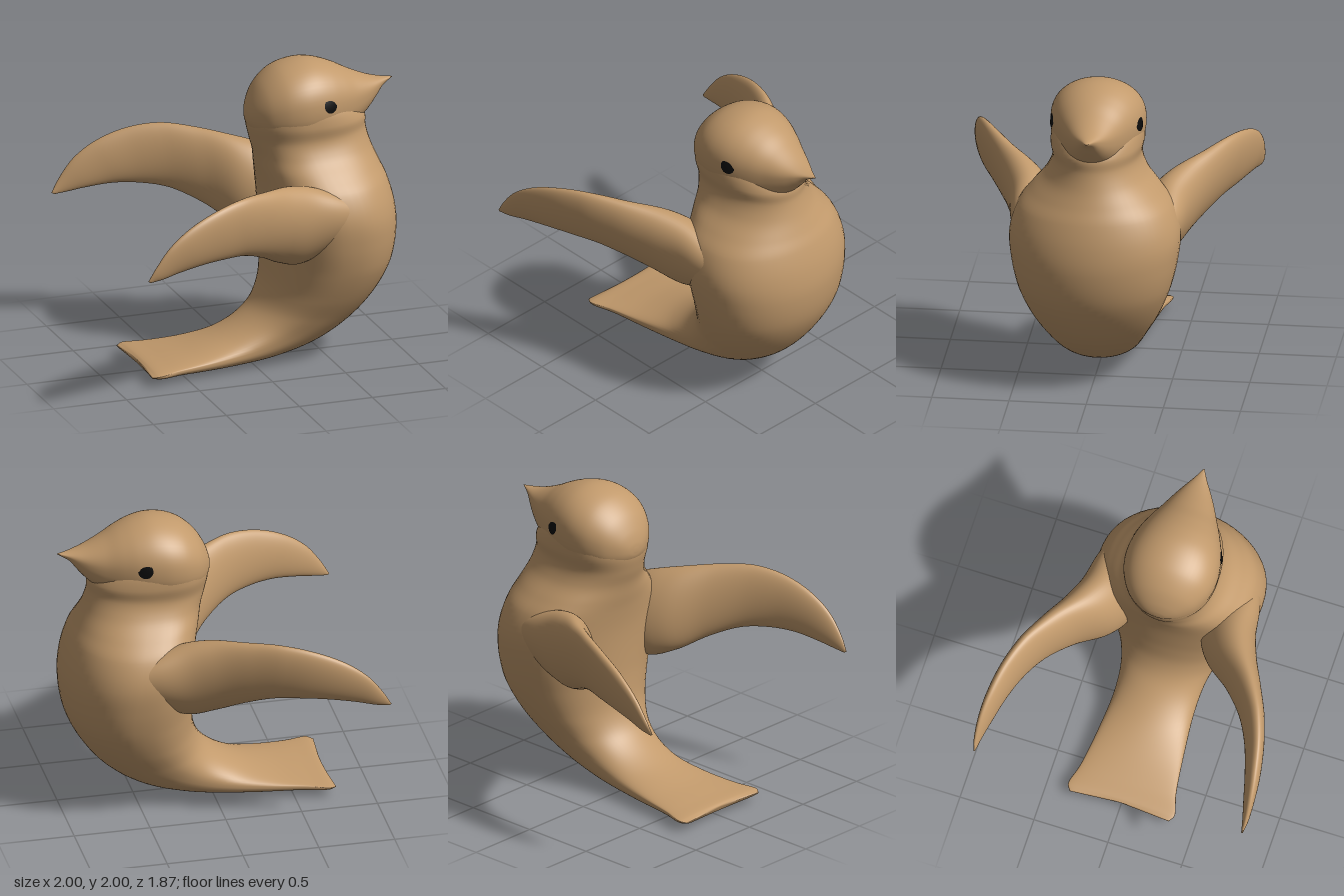
import * as THREE from 'three';

// Smooth skin through sections [ax, ay, bx, by, halfWidth, widest, zCentre].
// Each section is an oval from edge A to edge B; widest (0..1) is where it is broadest.
// side mirrors zCentre, lean tilts sections outward with height, power < 1 squares them.
function loft(sections, { side = 1, lean = 0, power = 1, endNotch = 0 } = {}) {
  const steps = 6;
  const sides = 56;
  const edgeA = new THREE.CatmullRomCurve3(sections.map((s) => new THREE.Vector3(s[0], s[1], s[4])));
  const edgeB = new THREE.CatmullRomCurve3(sections.map((s) => new THREE.Vector3(s[2], s[3], (s[6] || 0) * side)));
  const last = sections.length - 1;
  const rings = last * steps;
  const pos = [];
  const index = [];
  const centres = [];
  for (let i = 0; i <= rings; i++) {
    const t = i / rings;
    const A = edgeA.getPoint(t);
    const B = edgeB.getPoint(t);
    const k = Math.min(last - 1, Math.floor(t * last));
    const m = THREE.MathUtils.lerp(sections[k][5], sections[k + 1][5], t * last - k);
    const wx = A.x + (B.x - A.x) * m;
    const wy = A.y + (B.y - A.y) * m;
    const notch = endNotch * t ** 12;
    for (let j = 0; j < sides; j++) {
      const a = (j / sides) * Math.PI * 2;
      const c = Math.cos(a);
      const s = Math.sin(a);
      const E = c > 0 ? A : B;
      const f = Math.abs(c) ** power;
      const dy = (E.y - wy) * f;
      pos.push(wx + (E.x - wx) * f - notch * s * s, wy + dy, B.z + A.z * s + side * lean * dy);
      if (i < rings) {
        const n = (j + 1) % sides;
        const p = i * sides + j;
        const q = i * sides + n;
        index.push(p, p + sides, q, q, p + sides, q + sides);
      }
    }
    centres.push([wx, wy, B.z]);
  }
  // close both ends
  const first = pos.length / 3;
  pos.push(...centres[0], ...centres[rings]);
  for (let j = 0; j < sides; j++) {
    const n = (j + 1) % sides;
    index.push(first, j, n, first + 1, rings * sides + n, rings * sides + j);
  }
  const g = new THREE.BufferGeometry();
  g.setAttribute('position', new THREE.Float32BufferAttribute(pos, 3));
  g.setIndex(index);
  g.computeVertexNormals();
  return g;
}

// Neck, breast, belly and flared tail: A is the back, B the front
const BODY = [
  [0.15, 1.8, 0.55, 1.8, 0.2, 0.42],
  [0.04, 1.73, 0.7, 1.73, 0.288, 0.42],
  [0.01, 1.62, 0.797, 1.61, 0.302, 0.43],
  [0.03, 1.5, 0.805, 1.52, 0.288, 0.45],
  [0.06, 1.4, 0.835, 1.41, 0.33, 0.45],
  [0.08, 1.3, 0.88, 1.3, 0.42, 0.45],
  [0.1, 1.2, 0.925, 1.2, 0.5, 0.45],
  [0.12, 1.05, 0.97, 1.04, 0.55, 0.45],
  [0.13, 0.85, 0.985, 0.87, 0.54, 0.47],
  [0.13, 0.68, 0.95, 0.65, 0.495, 0.5],
  [0.11, 0.5, 0.85, 0.45, 0.42, 0.5],
  [0.05, 0.37, 0.7, 0.27, 0.34, 0.48],
  [-0.05, 0.28, 0.48, 0.12, 0.285, 0.45],
  [-0.2, 0.2, 0.2, 0.035, 0.268, 0.42],
  [-0.4, 0.14, -0.15, 0.005, 0.29, 0.33],
  [-0.6, 0.105, -0.5, 0.008, 0.325, 0.24],
  [-0.715, 0.088, -0.69, 0.02, 0.36, 0.2],
  [-0.742, 0.075, -0.73, 0.04, 0.335, 0.25],
];

// Beak tip to back of head: A is the crown, B the underside
const HEAD = [
  [1.0, 1.802, 0.998, 1.796, 0.003, 0.4],
  [0.94, 1.808, 0.925, 1.75, 0.04, 0.4],
  [0.87, 1.822, 0.87, 1.68, 0.085, 0.4],
  [0.8, 1.845, 0.8, 1.6, 0.13, 0.42],
  [0.7, 1.89, 0.7, 1.52, 0.185, 0.45],
  [0.6, 1.943, 0.6, 1.48, 0.238, 0.48],
  [0.5, 1.982, 0.5, 1.46, 0.28, 0.5],
  [0.4, 2.0, 0.4, 1.45, 0.303, 0.5],
  [0.3, 1.99, 0.3, 1.45, 0.308, 0.5],
  [0.2, 1.955, 0.2, 1.46, 0.285, 0.5],
  [0.1, 1.875, 0.1, 1.49, 0.222, 0.5],
  [0.035, 1.775, 0.035, 1.55, 0.135, 0.5],
  [0.008, 1.7, 0.008, 1.6, 0.065, 0.5],
  [0.002, 1.66, 0.002, 1.635, 0.015, 0.5],
];

// Shoulder, merging into the flank, to wing tip: A is the upper edge, B the lower edge
const WING = [
  [0.64, 1.12, 0.62, 0.92, 0.06, 0.5, 0.44],
  [0.46, 1.21, 0.43, 0.83, 0.137, 0.5, 0.415],
  [0.27, 1.285, 0.22, 0.74, 0.175, 0.5, 0.41],
  [0.1, 1.33, 0.06, 0.79, 0.165, 0.5, 0.48],
  [-0.1, 1.365, -0.1, 0.89, 0.112, 0.5, 0.62],
  [-0.3, 1.382, -0.27, 0.965, 0.08, 0.5, 0.738],
  [-0.5, 1.35, -0.43, 0.988, 0.064, 0.5, 0.815],
  [-0.7, 1.27, -0.6, 0.99, 0.052, 0.5, 0.865],
  [-0.85, 1.16, -0.78, 0.968, 0.036, 0.5, 0.893],
  [-0.95, 1.03, -0.9, 0.945, 0.02, 0.5, 0.905],
  [-1.0, 0.945, -0.98, 0.935, 0.006, 0.5, 0.905],
];

export function createModel() {
  const bird = new THREE.Group();
  bird.name = 'bird';
  const brown = new THREE.MeshStandardMaterial({ color: 0xc29a6c });
  brown.name = 'warm brown';
  const black = new THREE.MeshStandardMaterial({ color: 0x0a0a0a });
  black.name = 'black';

  const add = (name, geometry, material) => {
    const mesh = new THREE.Mesh(geometry, material);
    mesh.name = name;
    bird.add(mesh);
    return mesh;
  };

  add('bodyAndTail', loft(BODY, { power: 0.88, endNotch: 0.025 }), brown);
  add('headAndBeak', loft(HEAD, { power: 0.87 }), brown);

  for (const side of [1, -1]) {
    const label = side > 0 ? 'left' : 'right';
    add(label + 'Wing', loft(WING, { side, lean: 0.2 }), brown);

    // eye: shallow cap hugging the side of the head
    const R = 0.3;
    const cap = new THREE.SphereGeometry(R, 28, 5, 0, Math.PI * 2, 0, 0.165);
    cap.translate(0, -R, 0);
    const eye = add(label + 'Eye', cap, black);
    const normal = new THREE.Vector3(0.3, 0.17, 0.94 * side).normalize();
    eye.quaternion.setFromUnitVectors(new THREE.Vector3(0, 1, 0), normal);
    eye.position.set(0.478, 1.755, 0.282 * side).addScaledVector(normal, 0.006);
  }
  return bird;
}
